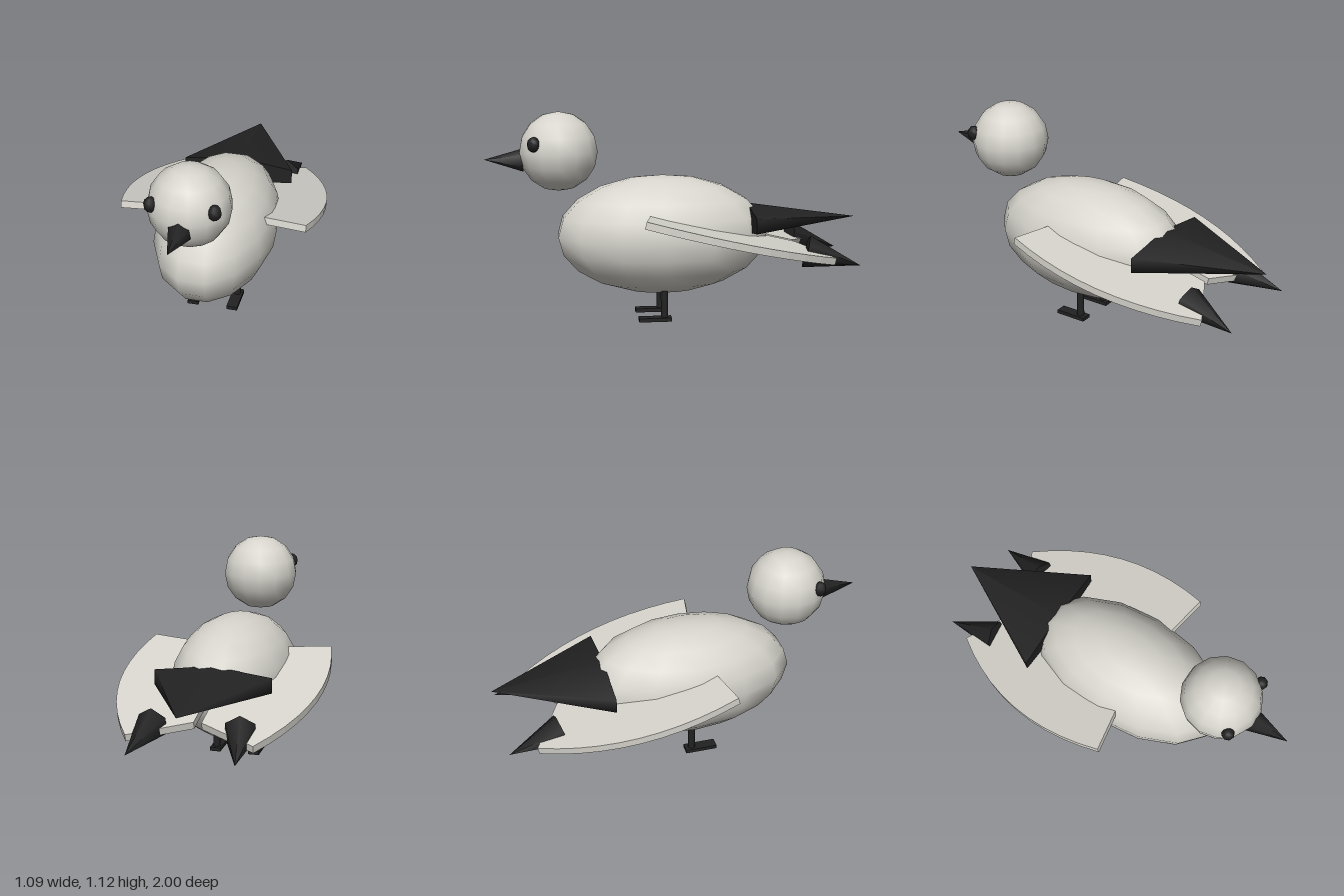
import * as THREE from 'three';

export function createModel() {
  const group = new THREE.Group();
  const plumage = new THREE.MeshStandardMaterial({ color: 0xd6d4cc });
  const black = new THREE.MeshStandardMaterial({ color: 0x222222 });

  const add = (name, geometry, material, x = 0, y = 0, z = 0) => {
    const mesh = new THREE.Mesh(geometry, material);
    mesh.name = name;
    mesh.position.set(x, y, z);
    group.add(mesh);
    return mesh;
  };

  // Six-sided cone from the centre of its base to its tip, one corner upwards
  const spike = (name, base, tip, radiusX, radiusY) => {
    const from = new THREE.Vector3(...base);
    const to = new THREE.Vector3(...tip);
    const length = from.distanceTo(to);
    const geometry = new THREE.ConeGeometry(1, length, 6)
      .rotateX(Math.PI / 2)
      .translate(0, 0, length / 2)
      .scale(radiusX, radiusY, 1);
    add(name, geometry, black, ...base).lookAt(to);
  };

  // Body and head
  add('body', new THREE.SphereGeometry(1, 14, 10).scale(0.32, 0.32, 0.573), plumage, 0, 0.455, 0.06);
  add('head', new THREE.SphereGeometry(0.21, 14, 8), plumage, 0, 0.908, 0.61);

  // Beak and flattened tail
  spike('beak', [0, 0.864, 0.795], [0, 0.868, 1], 0.063, 0.062);
  spike('tail', [0, 0.535, -0.4], [0, 0.53, -1], 0.358, 0.08);

  const tilt = 0.235;
  const stretch = 1 / Math.cos(tilt);
  for (const side of [1, -1]) {
    const label = side > 0 ? 'left' : 'right';

    // Wing: a curved plate sloping down to the back
    const p = (x, z) => [side * x, -z * stretch];
    const outline = new THREE.Shape();
    outline.moveTo(...p(0.02, 0.115));
    outline.lineTo(...p(0.5, 0.2));
    outline.quadraticCurveTo(...p(0.64, -0.35), ...p(0.32, -0.815));
    outline.lineTo(...p(0.02, -0.655));
    const wing = new THREE.ExtrudeGeometry(outline, { depth: 0.038, bevelEnabled: false, curveSegments: 10 })
      .rotateX(-Math.PI / 2)
      .rotateX(-tilt);
    add(label + 'Wing', wing, plumage, 0, 0.52, 0);

    // Dark wing tip
    spike(label + 'WingTip', [side * 0.222, 0.382, -0.683], [side * 0.27, 0.31, -0.965], 0.085, 0.088);

    // Eye
    add(label + 'Eye', new THREE.SphereGeometry(1, 8, 6).scale(0.034, 0.04, 0.034),
      black, side * 0.157, 0.96, 0.74);

    // Leg and foot
    add(label + 'Leg', new THREE.CylinderGeometry(0.02, 0.02, 0.16, 8), black, side * 0.11, 0.09, 0.06);
    add(label + 'Foot', new THREE.BoxGeometry(0.06, 0.02, 0.175), black, side * 0.11, 0.01, 0.11);
  }
  return group;
}
